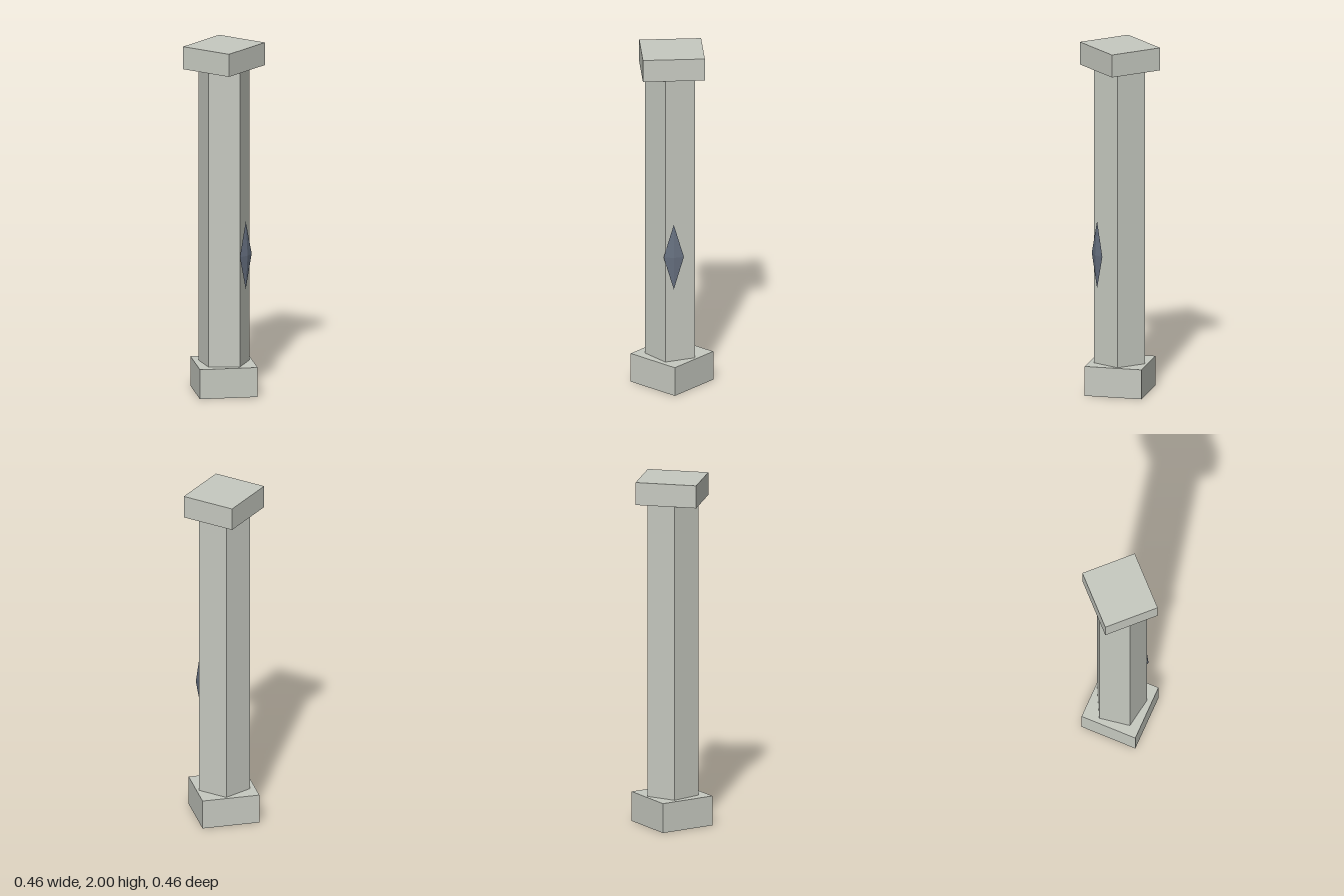
import * as THREE from 'three';

export function createModel() {
  const model = new THREE.Group();
  const stone = new THREE.MeshStandardMaterial({ color: 0xc6c9c0, flatShading: true });
  const crystal = new THREE.MeshStandardMaterial({ color: 0x667080, flatShading: true });

  function add(name, geometry, material, y, z = 0) {
    const mesh = new THREE.Mesh(geometry, material);
    mesh.name = name;
    mesh.position.set(0, y, z);
    model.add(mesh);
    return mesh;
  }

  // Upright prism with one corner pointing along startAngle (0 = +z)
  const prism = (radius, height, sides, startAngle) =>
    new THREE.CylinderGeometry(radius, radius, height, sides, 1, false, startAngle);

  // Square plinth, turned so its corners lie on the axes
  add('base', prism(0.232, 0.17, 4, 0), stone, 0.085);

  // Five-sided shaft with a corner towards -x
  add('shaft', prism(0.151, 1.7, 5, -Math.PI / 2), stone, 1.02);

  // Rectangular cap
  add('cap', new THREE.BoxGeometry(0.348, 0.13, 0.316), stone, 1.935);

  // Thin diamond set just in front of the shaft
  const diamond = new THREE.OctahedronGeometry(1).scale(0.057, 0.195, 0.0125);
  diamond.computeVertexNormals();
  add('diamond', diamond, crystal, 0.805, 0.15);

  return model;
}
